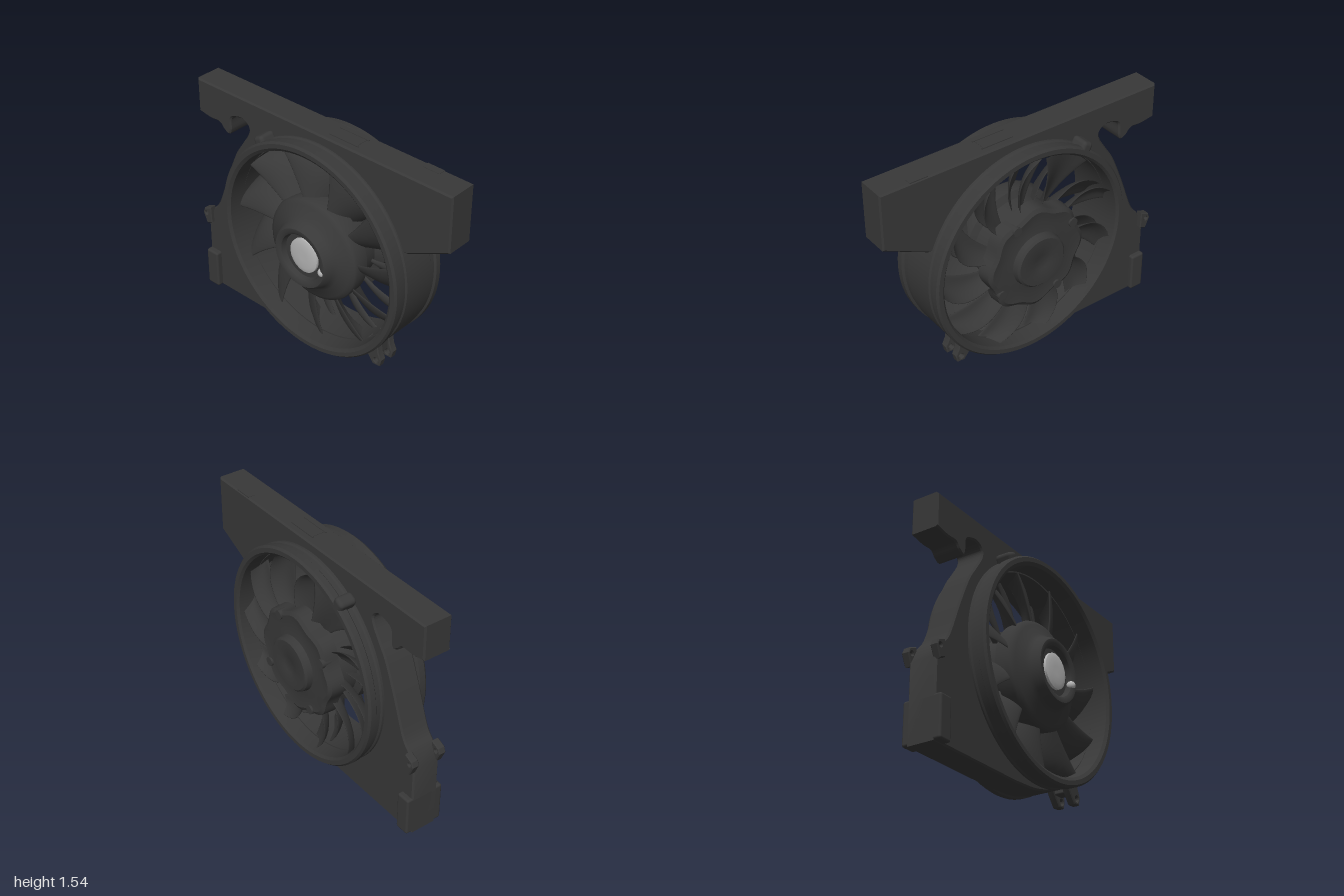
import * as THREE from 'three';
import { toCreasedNormals } from 'three/addons/utils/BufferGeometryUtils.js';
import { RoundedBoxGeometry } from 'three/addons/geometries/RoundedBoxGeometry.js';
import { ParametricGeometry } from 'three/addons/geometries/ParametricGeometry.js';

const V2 = (a) => a.map(([x, y]) => new THREE.Vector2(x, y));
const RAD = Math.PI / 180;

export function createModel() {
  const model = new THREE.Group();
  const plastic = new THREE.MeshStandardMaterial({ color: 0x383838 });
  plastic.name = 'dark plastic';
  const recess = new THREE.MeshStandardMaterial({ color: 0x2c2c2c });
  recess.name = 'recess black';
  const metal = new THREE.MeshStandardMaterial({ color: 0xb4b4b4 });
  metal.name = 'bare metal';

  function add(name, geo, x = 0, y = 0, z = 0, mat = plastic, parent = model) {
    const m = new THREE.Mesh(geo, mat);
    m.name = name;
    m.position.set(x, y, z);
    parent.add(m);
    return m;
  }
  // turned part around the z axis, profile given as [radius, z]
  function turned(profile, segs = 72) {
    const g = new THREE.LatheGeometry(V2(profile), segs).rotateX(Math.PI / 2);
    return toCreasedNormals(g, 0.6);
  }
  // plate from a shape, centred in depth, with chamfered edges
  function plate(shape, depth, bevel = 0.01) {
    const g = new THREE.ExtrudeGeometry(shape, {
      depth: depth - 2 * bevel, bevelThickness: bevel, bevelSize: bevel,
      bevelOffset: -bevel, bevelSegments: 1, curveSegments: 48,
    });
    return toCreasedNormals(g.translate(0, 0, bevel - depth / 2), 0.5);
  }
  function hole(x, y, r) {
    const h = new THREE.Path();
    h.absarc(x, y, r, 0, Math.PI * 2, true);
    return h;
  }

  // shroud: top beam, circular housing, lower corner and side hook
  const cx = 0.02, cy = 0.764;
  const s = new THREE.Shape();
  s.moveTo(-1, 1.54);
  s.lineTo(1, 1.54);
  s.lineTo(1, 1.165);
  s.lineTo(0.70, 1.02);
  s.absarc(cx, cy, 0.705, 0.37, -1.2, true);
  s.quadraticCurveTo(0.12, 0.02, -0.05, 0.008);
  s.lineTo(-0.2, 0);
  s.lineTo(-0.97, 0);
  s.lineTo(-0.97, 0.5);
  s.lineTo(-0.917, 0.607);
  s.splineThru(V2([[-0.858, 0.687], [-0.767, 0.928], [-0.687, 1.115], [-0.62, 1.22], [-0.57, 1.3],
    [-0.56, 1.356], [-0.607, 1.393], [-0.676, 1.382], [-0.714, 1.355], [-0.72, 1.275],
    [-0.74, 1.238], [-0.783, 1.259], [-0.82, 1.293], [-0.9, 1.292], [-1, 1.308]]));
  s.lineTo(-1, 1.54);
  s.holes.push(hole(cx, cy, 0.66));
  add('shroud', plate(s, 0.19), 0, 0, 0.005);

  // fan ring with stepped rims front and back, slightly taller than wide
  const ring = add('ring', turned([[0.655, -0.19], [0.67, -0.205], [0.7, -0.205], [0.712, -0.19], [0.712, -0.155],
    [0.7, -0.145], [0.7, -0.115], [0.708, -0.105], [0.708, 0.11], [0.7, 0.12], [0.7, 0.16],
    [0.715, 0.17], [0.715, 0.21], [0.703, 0.225], [0.675, 0.225], [0.655, 0.21], [0.65, 0.13],
    [0.65, -0.13], [0.655, -0.19]], 96), cx, cy, 0);
  ring.scale.y = 1.014;

  // rim clips on both sides
  for (const z of [0.145, -0.145]) {
    const clip = add('rimClip', new RoundedBoxGeometry(0.08, 0.08, 0.12, 2, 0.025), -0.37, 1.37, z);
    clip.rotation.z = 28 * RAD;
  }

  // lower corner block
  add('cornerBlock', new RoundedBoxGeometry(0.1, 0.27, 0.265, 2, 0.015), -0.92, 0.14, 0.008);

  // pierced mounting lug at the side
  const lug = new THREE.Shape(V2([[-0.925, 0.615], [-0.985, 0.59], [-0.998, 0.555], [-0.965, 0.48], [-0.92, 0.5]]));
  lug.holes.push(hole(-0.965, 0.56, 0.012));
  for (const z of [0.1, -0.1]) add('sideLug', plate(lug, 0.05, 0.006), 0, 0, z);

  // pierced foot at the lower right
  const foot = new THREE.Shape(V2([[0.37, 0.19], [0.4, 0.14], [0.463, 0.06], [0.516, 0.064], [0.528, 0.115],
    [0.505, 0.165], [0.49, 0.26], [0.42, 0.25]]));
  foot.holes.push(hole(0.488, 0.1, 0.018));
  for (const z of [0.065, -0.045]) add('foot', plate(foot, 0.05, 0.006), 0, 0, z);
  add('footWeb', new RoundedBoxGeometry(0.08, 0.1, 0.12, 2, 0.01), 0.45, 0.175, 0.01);

  // sockets in the beam
  add('topSocket', new THREE.BoxGeometry(0.19, 0.006, 0.085), 0.175, 1.539, 0.003);
  for (const z of [-0.043, 0.05]) add('socketLip', new THREE.BoxGeometry(0.22, 0.008, 0.008), 0.175, 1.541, z);
  add('topNotch', new THREE.BoxGeometry(0.12, 0.006, 0.05), 0.74, 1.539, -0.06);
  const under = add('underSocket', new THREE.BoxGeometry(0.1, 0.008, 0.11), 0.84, 1.088, 0.005, recess);
  under.rotation.z = 25.8 * RAD;

  // rotor
  const rotor = new THREE.Group();
  rotor.name = 'rotor';
  rotor.position.set(0.015, 0.745, 0);
  model.add(rotor);
  add('hub', turned([[0, -0.12], [0.29, -0.12], [0.3, 0.02], [0.345, 0.04], [0.35, 0.13], [0.342, 0.148], [0.315, 0.165],
    [0.25, 0.19], [0.225, 0.215], [0.212, 0.255], [0.2, 0.268], [0.175, 0.268], [0.16, 0.258],
    [0.15, 0.225], [0, 0.225]]), 0, 0, 0, plastic, rotor);

  // metal shaft cap and rivet
  const cap = add('shaftCap', turned([[0.112, 0.22], [0.11, 0.24], [0.08, 0.25], [0.03, 0.246], [0, 0.25]], 20),
    0.009, 0.009, 0, metal, rotor);
  cap.scale.y = 1.06;
  add('rivet', new THREE.SphereGeometry(0.029, 16, 10), 0.17, -0.031, 0.248, metal, rotor);

  // swept vane: lead and trail are [root, tip] angles in degrees, z0 and z1 the edge depths
  function vane(lead, trail, z0, z1, thick, rootR) {
    return new ParametricGeometry((t, v, p) => {
      const u = v * Math.PI * 2, c = (1 - Math.cos(u)) / 2;
      const a = lead[0] + (lead[1] - lead[0]) * t ** 3;
      const b = trail[0] + (trail[1] - trail[0]) * t;
      const th = (a + (b - a) * c) * RAD, r = rootR + (0.655 - rootR) * t;
      const z = z0 + (z1 - z0) * c + 0.03 * Math.sin(Math.PI * c) + thick * Math.sin(u);
      p.set(r * Math.cos(th), r * Math.sin(th), z);
    }, 12, 20);
  }
  const count = 11;
  for (let k = 0; k < count; k++) {
    const a = 142 + k * 360 / count;
    add('blade', vane([a, a + 20], [a + 28, a + 36], -0.06, 0.13, 0.014, 0.29), 0, 0, 0, plastic, rotor);
    // rear guide vanes shadow the blades; the last is widened into a panel
    const lead = k === count - 1 ? [a - 5, a - 10] : [a, a + 20];
    add('guideVane', vane(lead, [a + 13, a + 30], -0.16, -0.07, 0.012, 0.28), 0, 0, 0, plastic, rotor);
  }

  // motor housing at the back with a lobed rim
  const back = new THREE.LatheGeometry(V2([[0, -0.272], [0.05, -0.268], [0.06, -0.272], [0.165, -0.272], [0.178, -0.26],
    [0.185, -0.225], [0.25, -0.215], [0.32, -0.225], [0.345, -0.21], [0.35, -0.12], [0.28, -0.09]]), 96).rotateX(Math.PI / 2);
  const pos = back.attributes.position;
  for (let i = 0; i < pos.count; i++) {
    const x = pos.getX(i), y = pos.getY(i), r = Math.hypot(x, y);
    if (r < 0.22) continue;
    const f = 1 + 0.04 * Math.cos(8 * Math.atan2(y, x));
    pos.setXY(i, x * f, y * f);
  }
  add('motorHousing', toCreasedNormals(back, 0.6), 0, 0, 0, plastic, rotor);
  for (const d of [60, 150, 240, 330]) {
    add('housingBoss', new THREE.CylinderGeometry(0.03, 0.03, 0.1, 16).rotateX(Math.PI / 2),
      0.31 * Math.cos(d * RAD), 0.31 * Math.sin(d * RAD), -0.185, plastic, rotor);
  }
  return model;
}
